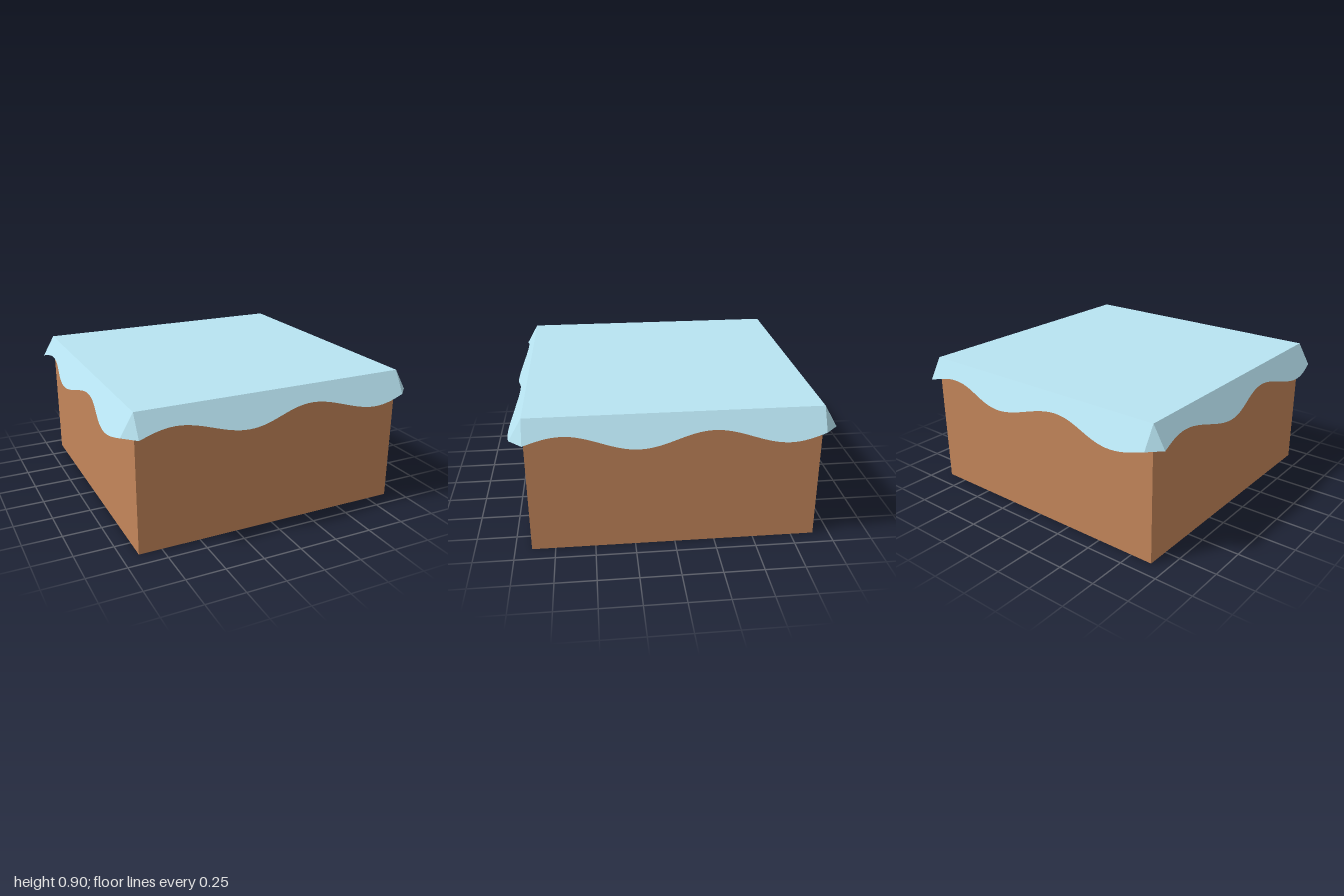
import * as THREE from 'three';

const H = 0.896;              // half width of the block, also its height
const DROP = 0.14;            // mean vertical drop of the overhang
const WAVE = 0.04;            // height of the wavy hem
const TILT = Math.PI / 6;     // outward tilt of the overhang

export function createModel() {
  const model = new THREE.Group();
  model.name = 'coveredBlock';

  const earth = new THREE.MeshStandardMaterial({ color: 0xc4865a });
  const ice = new THREE.MeshStandardMaterial({ color: 0xb8e4f2, side: THREE.DoubleSide });

  const add = (parent, name, geometry, material) => {
    const mesh = new THREE.Mesh(geometry, material);
    mesh.name = name;
    parent.add(mesh);
    return mesh;
  };

  // Solid block, a hair lower than the cover so the surfaces do not coincide
  const blockHeight = H - 0.002;
  add(model, 'block', new THREE.BoxGeometry(2 * H, blockHeight, 2 * H), earth)
    .position.y = blockHeight / 2;

  // Flat cover
  const cover = add(model, 'topCover', new THREE.PlaneGeometry(2 * H, 2 * H), ice);
  cover.rotation.x = -Math.PI / 2;
  cover.position.y = H;

  // Flap outline: straight top edge, two full waves along the hem
  const outline = new THREE.Shape();
  outline.moveTo(H, 0);
  outline.lineTo(-H, 0);
  const steps = 64;
  for (let i = 0; i <= steps; i++) {
    const t = i / steps;
    const drop = DROP - WAVE * Math.sin(4 * Math.PI * t);
    outline.lineTo(-H + 2 * H * t, -drop / Math.cos(TILT));
  }
  const flapGeometry = new THREE.ShapeGeometry(outline);

  // Triangle bridging the ends of two neighbouring flaps
  const out = H + DROP * Math.tan(TILT);
  const low = H - DROP;
  const cornerGeometry = new THREE.BufferGeometry();
  cornerGeometry.setAttribute('position', new THREE.Float32BufferAttribute(
    [H, H, H, H, low, out, out, low, H], 3));
  cornerGeometry.computeVertexNormals();

  // The same flap and corner on all four sides
  ['front', 'left', 'back', 'right'].forEach((side, i) => {
    const overhang = new THREE.Group();
    overhang.name = side + 'Overhang';
    overhang.rotation.y = i * Math.PI / 2;
    const flap = add(overhang, side + 'Flap', flapGeometry, ice);
    flap.position.set(0, H, H);
    flap.rotation.x = -TILT;
    add(overhang, side + 'Corner', cornerGeometry, ice);
    model.add(overhang);
  });

  return model;
}
